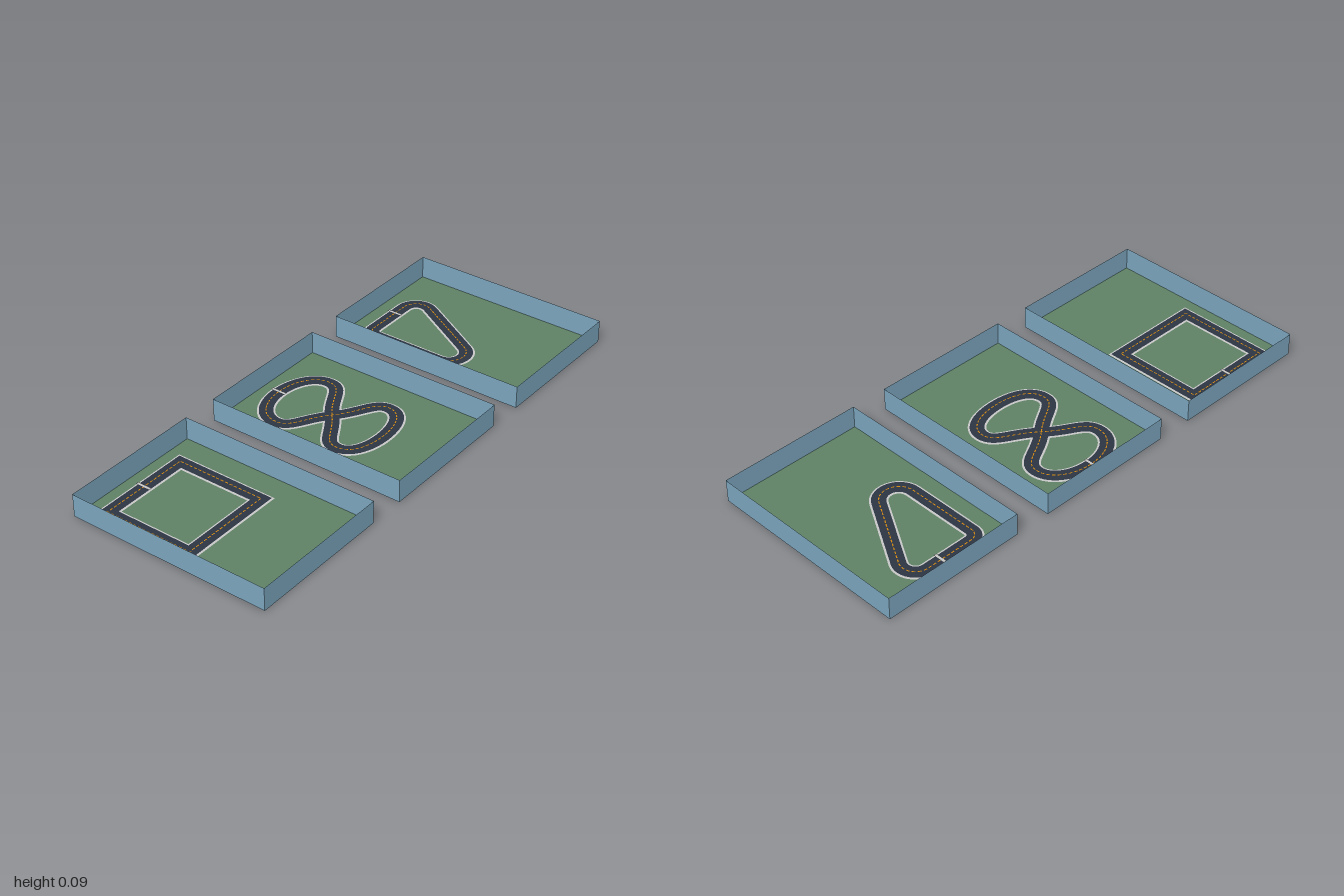
import * as THREE from 'three';

const mat = (name, color) => {
  const m = new THREE.MeshStandardMaterial({ color, side: THREE.DoubleSide });
  m.name = name;
  return m;
};
const V = (x, z) => new THREE.Vector2(x, z);

// Flat closed band along a loop of (x, z) points, with mitred corners
function ribbon(pts, halfWidth, y) {
  const n = pts.length, pos = [], idx = [];
  pts.forEach((p, i) => {
    const d0 = p.clone().sub(pts[(i + n - 1) % n]).normalize();
    const d1 = pts[(i + 1) % n].clone().sub(p).normalize();
    const d = d0.clone().add(d1).normalize();
    const w = halfWidth / Math.max(0.5, d.dot(d1));
    pos.push(p.x + d.y * w, y, p.y - d.x * w, p.x - d.y * w, y, p.y + d.x * w);
    const a = 2 * i, b = 2 * ((i + 1) % n);
    idx.push(a, a + 1, b + 1, a, b + 1, b);
  });
  const g = new THREE.BufferGeometry();
  g.setAttribute('position', new THREE.Float32BufferAttribute(pos, 3));
  g.setIndex(idx);
  g.computeVertexNormals();
  return g;
}

// Loop of straights and arcs wrapped around circles [x, z, radius]
function belt(circles) {
  const n = circles.length;
  const angles = circles.map(([x, z, r], i) => {
    const [x2, z2, r2] = circles[(i + 1) % n];
    return Math.atan2(z2 - z, x2 - x) - Math.acos((r - r2) / Math.hypot(x2 - x, z2 - z));
  });
  const pts = [];
  circles.forEach(([x, z, r], i) => {
    const start = angles[(i + n - 1) % n];
    let sweep = angles[i] - start;
    while (sweep < 0) sweep += Math.PI * 2;
    for (let k = 0; k <= 14; k++) {
      const a = start + sweep * k / 14;
      pts.push(V(x + r * Math.cos(a), z + r * Math.sin(a)));
    }
  });
  return pts;
}

// Figure-eight loop through a few points
function figureEight() {
  const curve = new THREE.CatmullRomCurve3([
    [-0.335, 0.007], [-0.225, -0.153], [-0.087, 0.012], [0.048, 0.163],
    [0.138, 0.01], [0.048, -0.148], [-0.087, 0.012], [-0.225, 0.165],
  ].map(([x, z]) => new THREE.Vector3(x, 0, z)), true, 'catmullrom', 0.8);
  return curve.getPoints(120).slice(0, -1).map(p => V(p.x, p.z));
}

export function createModel() {
  const grass = mat('grass', 0x5f8265);
  const wall = mat('wall blue', 0x7ba5bd);
  const asphalt = mat('asphalt', 0x2c3542);
  const white = mat('edge white', 0xc8c8c8);
  const orange = mat('dash orange', 0xd4890f);

  const model = new THREE.Group();
  model.name = 'trackTrays';
  const add = (parent, name, geo, m, x = 0, y = 0, z = 0) => {
    const mesh = new THREE.Mesh(geo, m);
    mesh.name = name;
    mesh.position.set(x, y, z);
    parent.add(mesh);
    return mesh;
  };

  const W = 0.816, D = 0.57, H = 0.09;

  // Open tray: grass floor and four thin walls
  function tray(z) {
    const g = new THREE.Group();
    g.name = 'tray';
    g.position.z = z;
    add(g, 'floor', new THREE.PlaneGeometry(W, D).rotateX(-Math.PI / 2), grass);
    for (const s of [1, -1]) {
      const turn = s > 0 ? 0 : Math.PI;
      add(g, s > 0 ? 'frontWall' : 'backWall',
        new THREE.PlaneGeometry(W, H).rotateY(turn), wall, 0, H / 2, s * D / 2);
      add(g, s > 0 ? 'leftWall' : 'rightWall',
        new THREE.PlaneGeometry(D, H).rotateY(s * Math.PI / 2), wall, s * W / 2, H / 2, 0);
    }
    model.add(g);
  }

  // Track: white border below, asphalt above, centre dashes and start line
  function track(name, pts, startX, startZ) {
    const g = new THREE.Group();
    g.name = name;
    add(g, 'border', ribbon(pts, 0.033, 0.002), white);
    add(g, 'road', ribbon(pts, 0.026, 0.004), asphalt);

    const path = new THREE.CurvePath();
    pts.forEach((p, i) => path.add(new THREE.LineCurve(p, pts[(i + 1) % pts.length])));
    const count = Math.round(path.getLength() / 0.02);
    const dash = new THREE.PlaneGeometry(0.013, 0.004).rotateX(-Math.PI / 2);
    const dashes = new THREE.Group();
    dashes.name = 'centreDashes';
    for (let i = 0; i < count; i++) {
      const t = (i + 0.5) / count;
      const p = path.getPoint(t);
      const d = path.getPoint(Math.min(t + 0.001, 1)).sub(path.getPoint(t - 0.001));
      add(dashes, 'dash', dash, orange, p.x, 0.006, p.y).rotation.y = -Math.atan2(d.y, d.x);
    }
    g.add(dashes);

    add(g, 'startLine', new THREE.PlaneGeometry(0.062, 0.012).rotateX(-Math.PI / 2),
      white, startX, 0.008, startZ);
    model.add(g);
  }

  for (const z of [-0.715, 0, 0.715]) tray(z);

  track('triangleTrack',
    belt([[-0.266, -0.757, 0.058], [0, -0.592, 0.067], [-0.287, -0.562, 0.037]]),
    -0.324, -0.697);
  track('figureEightTrack', figureEight(), -0.335, 0.007);
  track('squareTrack',
    [V(-0.331, 0.555), V(0.029, 0.555), V(0.029, 0.921), V(-0.331, 0.921)],
    -0.331, 0.741);
  return model;
}
